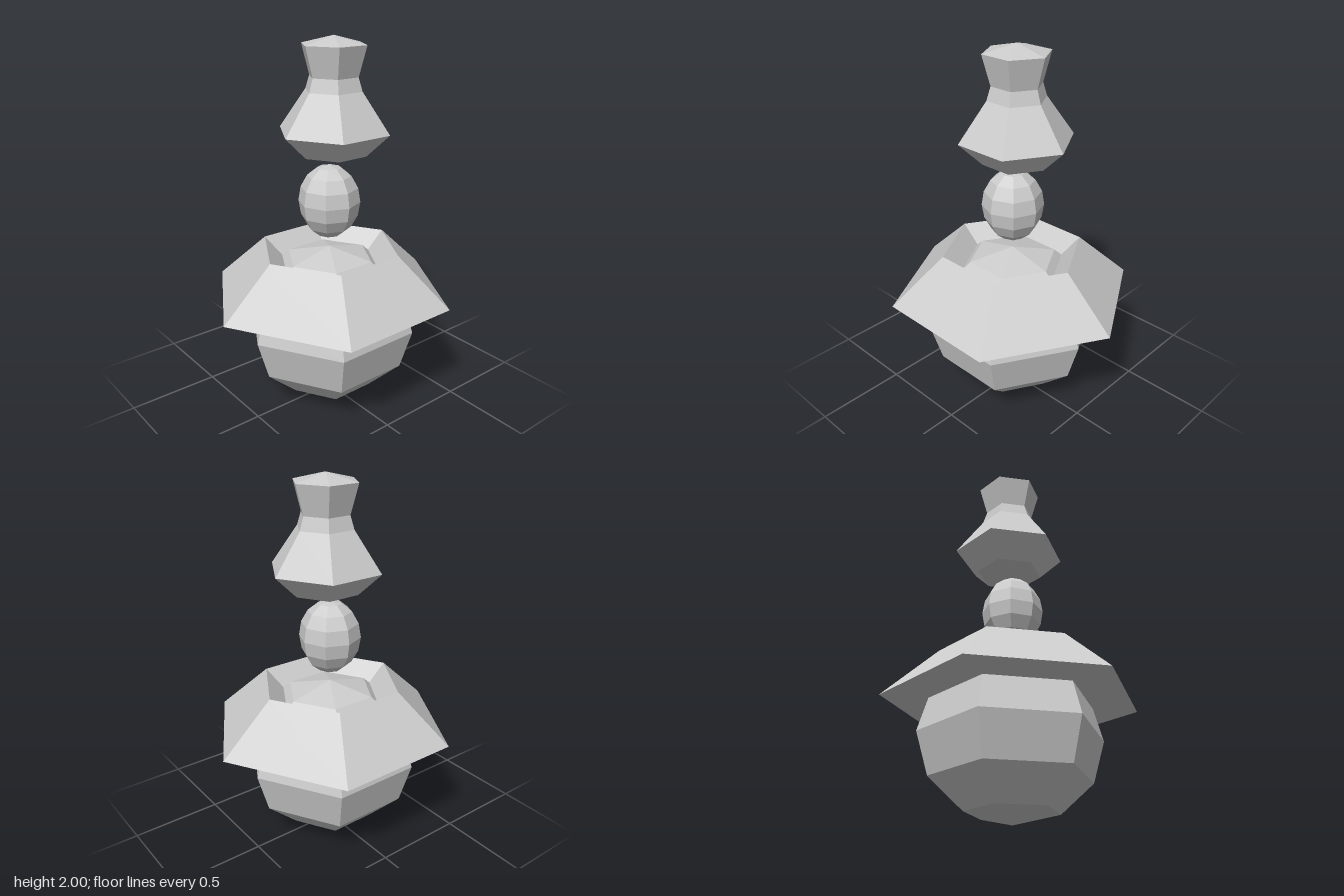
import * as THREE from 'three';

const material = new THREE.MeshStandardMaterial({ color: 0xcccccc, flatShading: true });

// Faceted turned solid with a corner on the x axis
function turned(name, profile, sides) {
  const points = profile.map(([r, y]) => new THREE.Vector2(r, y));
  const mesh = new THREE.Mesh(new THREE.LatheGeometry(points, sides, Math.PI / 2), material);
  mesh.name = name;
  return mesh;
}

// Ellipsoid profile from bottom pole to top pole
function ellipsoid(radius, halfHeight, centerY, rings) {
  return Array.from({ length: rings + 1 }, (_, i) => {
    const a = (i / rings) * Math.PI;
    return [i % rings ? radius * Math.sin(a) : 0, centerY - halfHeight * Math.cos(a)];
  });
}

export function createModel() {
  const model = new THREE.Group();
  model.name = 'stackedFigure';

  // Round hexagonal body
  const body = turned('body', ellipsoid(0.485, 0.442, 0.445, 6), 6);

  // Triangular-section collar around the shoulders
  const collar = turned('collar', [[0.1, 0.62], [0.68, 0.62], [0.39, 0.885], [0.1, 0.62]], 6);

  // Floating egg above the body
  const egg = turned('egg', ellipsoid(0.166, 0.2, 1.145, 8), 8);

  // Flared bell-shaped head, slightly off centre
  const head = turned('head', [
    [0, 1.36], [0.18, 1.4], [0.304, 1.52], [0.155, 1.73],
    [0.133, 1.8], [0.176, 1.957], [0, 2],
  ], 6);
  head.position.x = 0.028;

  model.add(body, collar, egg, head);
  return model;
}
